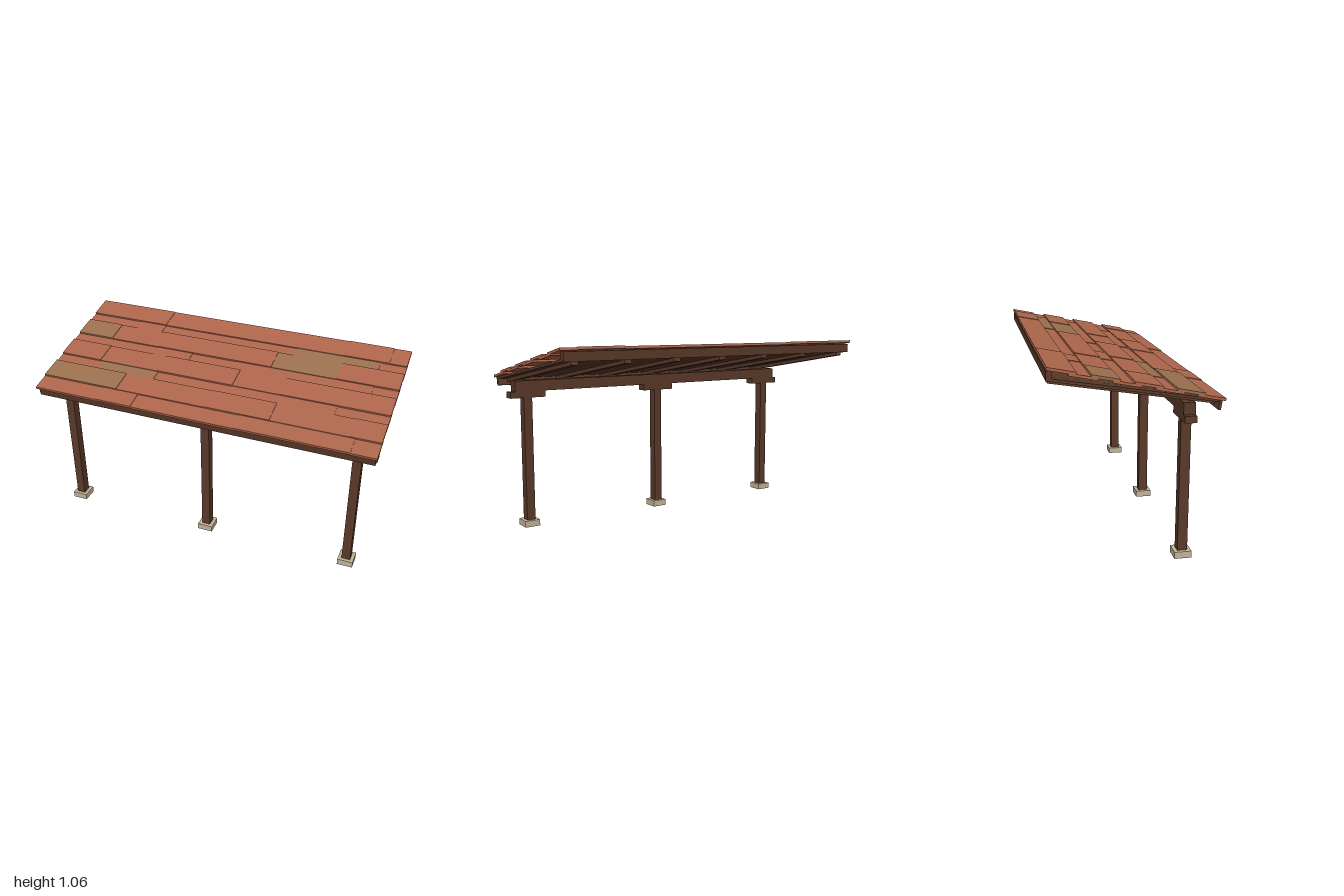
import * as THREE from 'three';

const material = (name, color) => {
  const m = new THREE.MeshStandardMaterial({ color });
  m.name = name;
  return m;
};

export function createModel() {
  const wood = material('dark wood', 0x5a3929);
  const tile = material('red shingle', 0xae664c);
  const moss = material('mossy shingle', 0x9b704f);
  const stone = material('pale stone', 0xc3b399);

  const model = new THREE.Group();
  model.name = 'leanToShelter';

  const box = (parent, name, mat, [w, h, d], [x, y, z], tilt = 0) => {
    const mesh = new THREE.Mesh(new THREE.BoxGeometry(w, h, d), mat);
    mesh.name = name;
    mesh.position.set(x, y, z);
    mesh.rotation.x = tilt;
    parent.add(mesh);
  };

  // Posts, each on a footing and carrying a bracket
  for (const x of [-0.877, 0, 0.877]) {
    box(model, 'footing', stone, [0.09, 0.037, 0.092], [x, 0.0185, 0.268]);
    box(model, 'post', wood, [0.05, 0.72, 0.053], [x, 0.394, 0.268]);
    box(model, 'bracket', wood, [0.21, 0.036, 0.062], [x, 0.768, 0.268]);
  }
  box(model, 'mainBeam', wood, [1.91, 0.062, 0.062], [0, 0.817, 0.268]);

  // Sloping rafters with a deck set flush into their tops, between the edge boards
  const rafterTilt = 0.163;
  for (let i = -3; i <= 3; i++) {
    box(model, 'rafter', wood, [0.04, 0.034, 0.838], [i * 0.304, 0.9165, -0.01], rafterTilt);
  }
  box(model, 'deck', wood, [1.96, 0.014, 0.834], [0, 0.9262, -0.0084], rafterTilt);
  box(model, 'frontFascia', wood, [1.98, 0.052, 0.014], [0, 0.839, 0.411], rafterTilt);
  box(model, 'rearPlate', wood, [1.96, 0.05, 0.03], [0, 1.012, -0.423]);

  // Shingle roof, a little steeper than the rafters
  const roof = new THREE.Group();
  roof.name = 'roof';
  roof.position.y = 0.961;
  roof.rotation.x = 0.2;
  model.add(roof);

  // Overlapping courses from front to back: seams along x, mossy pieces
  const courses = [
    [[-0.61, -0.39, 0.22, 0.86], []],
    [[-0.53, 0.02, 0.39, 0.83], [0]],
    [[-0.73, -0.36, 0.1, 0.71], [1]],
    [[-0.74, -0.37, 0.1, 0.38], []],
    [[-0.46, -0.23, 0.04, 0.86], []],
    [[-0.77, -0.46, 0.26, 0.645], [0, 3]],
    [[-0.67, -0.5, 0.35, 0.85], [3]],
    [[-0.5, 0.63, 0.9], []],
  ];
  courses.forEach(([seams, mossy], c) => {
    const ends = [-1, ...seams, 1];
    const z = (0.367 - c * 0.105) / Math.cos(0.2);
    for (let i = 0; i + 1 < ends.length; i++) {
      // Every second course lies on top; neighbours in a course differ slightly in height
      const top = (c % 2 ? 0.007 : 0) + ((i + c) % 2 ? 0.003 : 0);
      box(roof, 'shingle', mossy.includes(i) ? moss : tile,
        [ends[i + 1] - ends[i], 0.014, 0.143],
        [(ends[i] + ends[i + 1]) / 2, top - 0.007, z]);
    }
  });

  return model;
}
